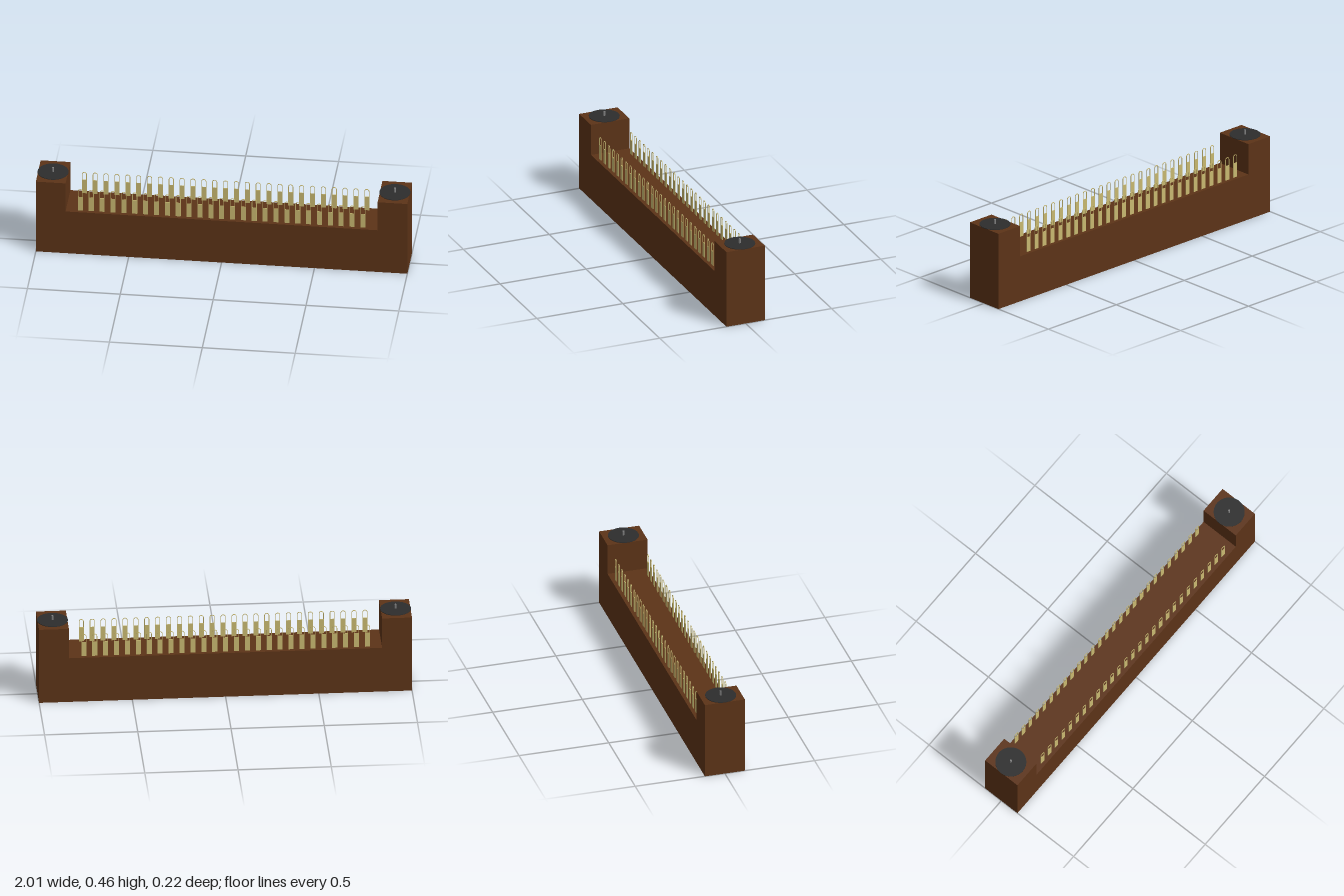
import * as THREE from 'three';

const mat = (color) => new THREE.MeshStandardMaterial({ color });

function add(parent, name, geometry, material, x = 0, y = 0, z = 0) {
  const mesh = new THREE.Mesh(geometry, material);
  mesh.name = name;
  mesh.position.set(x, y, z);
  parent.add(mesh);
  return mesh;
}

// Upright outline with a rounded top, standing on y = bottom
function archPath(path, halfWidth, bottom, springY) {
  path.moveTo(-halfWidth, bottom);
  path.lineTo(halfWidth, bottom);
  path.lineTo(halfWidth, springY);
  path.absarc(0, springY, halfWidth, 0, Math.PI, false);
  path.lineTo(-halfWidth, bottom);
  return path;
}

export function createModel() {
  const model = new THREE.Group();
  model.name = 'edgeConnector';

  const brown = mat(0x5c3317);
  const brass = mat(0xc8b870);
  const dark = mat(0x2d2d2d);
  const steel = mat(0x808080);

  const baseTop = 0.26, endTop = 0.435, depth = 0.223, endWidth = 0.16;

  // Housing: a long bar with a raised block at each end
  const outline = new THREE.Shape([
    [-1, 0], [1, 0], [1, endTop], [1 - endWidth, endTop], [1 - endWidth, baseTop],
    [endWidth - 1, baseTop], [endWidth - 1, endTop], [-1, endTop],
  ].map(([x, y]) => new THREE.Vector2(x, y)));
  const housing = new THREE.ExtrudeGeometry(outline, { depth, bevelEnabled: false });
  add(model, 'housing', housing, brown, 0, 0, -depth / 2);

  // Round washer and small centre pin on each end block
  const washer = new THREE.CylinderGeometry(0.083, 0.083, 0.003, 32);
  const pin = new THREE.CylinderGeometry(0.0055, 0.0055, 0.028, 16);
  for (const side of [-1, 1]) {
    const x = side * (1 - endWidth / 2);
    add(model, 'washer', washer, dark, x, endTop + 0.0015, 0);
    add(model, 'centrePin', pin, steel, x, endTop + 0.014, 0);
  }

  // Contact tail: a flat tab ending in a thin open eyelet
  const half = 0.0135, rim = 0.003, thickness = 0.003;
  const tailShape = archPath(new THREE.Shape(), half, 0, 0.117);
  tailShape.holes.push(archPath(new THREE.Path(), half - rim, 0.083, 0.117));
  const tail = new THREE.ExtrudeGeometry(tailShape, {
    depth: thickness, bevelEnabled: false, curveSegments: 8,
  });
  tail.translate(0, 0, -thickness / 2);

  // Two rows of contacts along the long edges
  const count = 27, pitch = 0.0585;
  for (const z of [0.09, -0.09]) {
    const row = new THREE.Group();
    row.name = z > 0 ? 'frontContacts' : 'backContacts';
    for (let i = 0; i < count; i++) {
      add(row, 'contact', tail, brass, (i - (count - 1) / 2) * pitch - 0.002, baseTop, z);
    }
    model.add(row);
  }
  return model;
}
